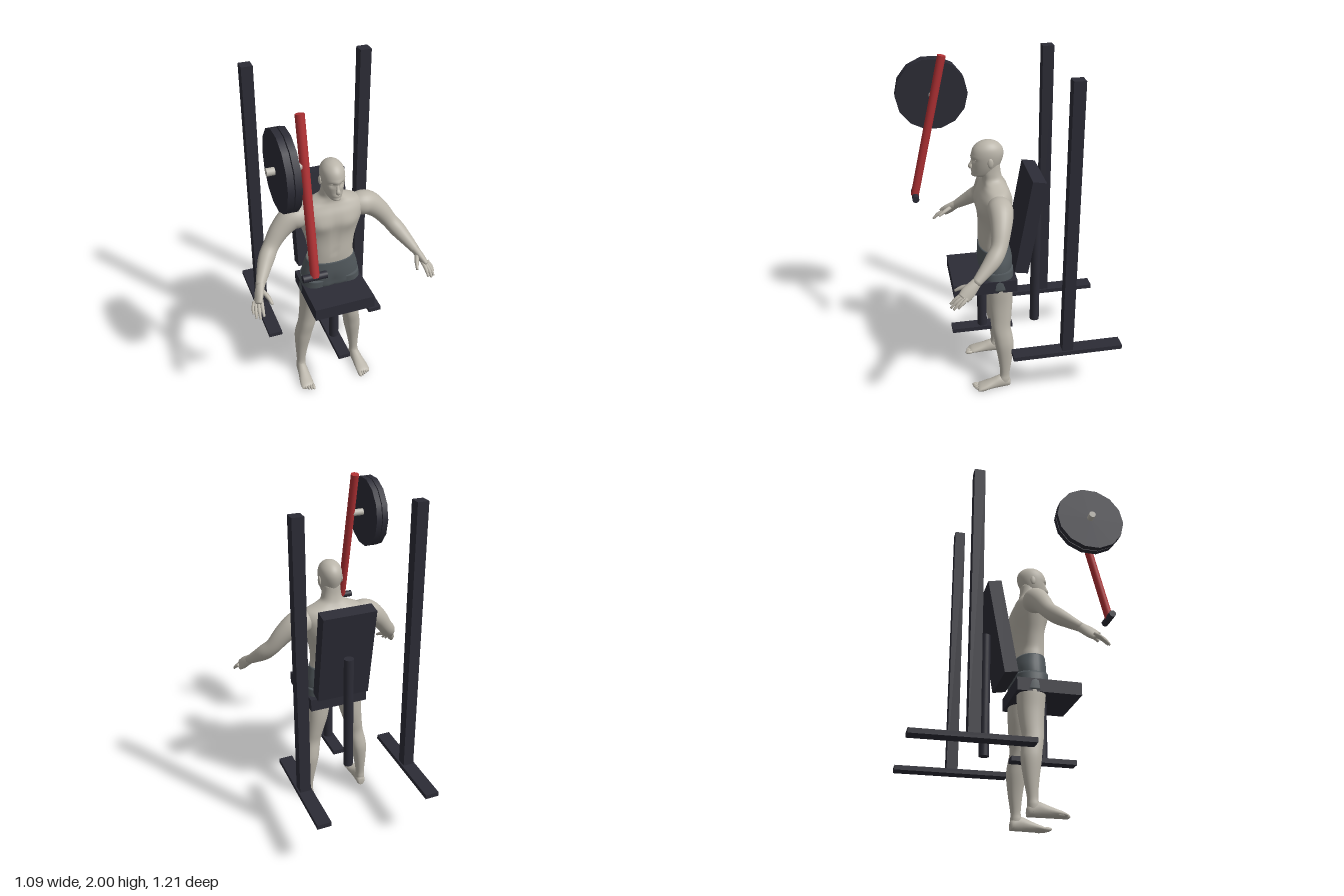
import * as THREE from 'three';

const paint = (name, color) => {
  const m = new THREE.MeshStandardMaterial({ color });
  m.name = name;
  return m;
};

// Catmull-Rom resampling of rows of numbers
function resample(rows, steps) {
  const out = [];
  for (let i = 0; i < rows.length - 1; i++) {
    const a = rows[Math.max(i - 1, 0)], b = rows[i], c = rows[i + 1], d = rows[Math.min(i + 2, rows.length - 1)];
    for (let k = 0; k < steps; k++) {
      const t = k / steps;
      out.push(b.map((_, j) => b[j] + 0.5 * t * (c[j] - a[j] + t * (2 * a[j] - 5 * b[j] + 4 * c[j] - d[j]
        + t * (3 * (b[j] - c[j]) + d[j] - a[j])))));
    }
  }
  out.push(rows[rows.length - 1]);
  return out;
}

// Closed skin over rings of points, always wound outward
function skinRings(rings) {
  const n = rings[0].length, pts = rings.flat(), idx = [];
  for (let i = 0; i < rings.length - 1; i++) for (let j = 0; j < n; j++) {
    const a = i * n + j, b = i * n + (j + 1) % n;
    idx.push(a, b, a + n, b, b + n, a + n);
  }
  [0, rings.length - 1].forEach((r, end) => {
    const c = new THREE.Vector3();
    rings[r].forEach(p => c.addScaledVector(p, 1 / n));
    pts.push(c);
    for (let j = 0; j < n; j++) {
      const a = r * n + j, b = r * n + (j + 1) % n;
      idx.push(...(end ? [a, b, pts.length - 1] : [b, a, pts.length - 1]));
    }
  });
  let volume = 0;
  const cross = new THREE.Vector3();
  for (let i = 0; i < idx.length; i += 3) volume += pts[idx[i]].dot(cross.crossVectors(pts[idx[i + 1]], pts[idx[i + 2]]));
  if (volume < 0) idx.reverse();
  const g = new THREE.BufferGeometry().setFromPoints(pts);
  g.setIndex(idx);
  g.computeVertexNormals();
  return g;
}

// Upright form: rows of [y, centre x, half width, back z, front z]; bumps push along z
function upright(rows, side = 1, bumps = [], n = 36, power = 0.9) {
  const soft = v => Math.sign(v) * Math.abs(v) ** power;
  return skinRings(resample(rows, 4).map(([y, xc, hw, zb, zf]) => Array.from({ length: n }, (_, j) => {
    const a = j / n * Math.PI * 2, c = soft(Math.cos(a)), s = soft(Math.sin(a));
    const p = new THREE.Vector3(side * (xc + hw * c), y, (zb + zf) / 2 + (zf - zb) / 2 * s);
    let push = 0;
    for (const [bx, by, rx, ry, amp, face] of bumps) {
      if (s * face > 0) push += amp * Math.min(1, Math.abs(s) * 2) * Math.exp(-(((p.x - bx) / rx) ** 2) - ((y - by) / ry) ** 2);
    }
    p.z += push;
    return p;
  })));
}

// Limb along a path: rows of [x, y, z, radius, flatness]
function limb(rows, side = 1, n = 18) {
  const path = resample(rows, 4);
  const at = i => new THREE.Vector3(...path[Math.min(Math.max(i, 0), path.length - 1)].slice(0, 3));
  return skinRings(path.map((row, i) => {
    const dir = at(i + 1).sub(at(i - 1)).normalize();
    const u = new THREE.Vector3(0.8, 0.55, -0.2).cross(dir).normalize();
    const v = dir.clone().cross(u);
    return Array.from({ length: n }, (_, j) => {
      const a = j / n * Math.PI * 2;
      const p = at(i).addScaledVector(u, Math.cos(a) * row[3]).addScaledVector(v, Math.sin(a) * row[3] * row[4]);
      p.x *= side;
      return p;
    });
  }));
}

export function createModel() {
  const model = new THREE.Group();
  const frame = paint('darkFrame', 0x2c2c36), red = paint('leverRed', 0xb03134);
  const metal = paint('lightMetal', 0xbdb9b0), skin = paint('skin', 0xbab5aa), cloth = paint('shortsGrey', 0x50575b);

  const add = (name, geo, mat, x = 0, y = 0, z = 0, parent = model) => {
    const m = new THREE.Mesh(geo, mat);
    m.name = name;
    m.position.set(x, y, z);
    parent.add(m);
    return m;
  };
  const box = (name, w, h, d, x, y, z) => add(name, new THREE.BoxGeometry(w, h, d), frame, x, y, z);
  const rod = (name, r, len, mat, x, y, z, n = 20) => add(name, new THREE.CylinderGeometry(r, r, len, n), mat, x, y, z);
  const ball = (name, x, y, z, rx, ry, rz, parent) =>
    add(name, new THREE.SphereGeometry(1, 16, 12), skin, x, y, z, parent).scale.set(rx, ry, rz);

  // Rack uprights and their floor runners
  for (const s of [-1, 1]) {
    box('upright', 0.065, 1.645, 0.065, s * 0.335, 1.1775, -0.272);
    box('uprightFoot', 0.083, 0.027, 0.66, s * 0.335, 0.347, -0.275);
  }

  // Seat and back rest
  box('seat', 0.36, 0.077, 0.375, 0, 0.732, 0.184);
  rod('seatPost', 0.029, 0.35, frame, 0, 0.525, 0.185);
  box('seatFoot', 0.073, 0.027, 0.375, 0, 0.347, 0.187);
  box('backPad', 0.32, 0.58, 0.08, 0, 1.09, -0.08).rotation.x = -0.175;
  rod('backPost', 0.029, 0.735, frame, 0, 0.723, -0.148);

  // Lever arm with handle, peg and two weight plates
  const top = new THREE.Vector3(-0.24, 1.994, 0.34), low = new THREE.Vector3(-0.24, 1.17, 0.537);
  const span = top.clone().sub(low), mid = top.clone().add(low).multiplyScalar(0.5);
  rod('leverArm', 0.024, span.length(), red, mid.x, mid.y, mid.z).rotation.x = Math.atan2(span.z, span.y);
  rod('handle', 0.02, 0.13, frame, -0.24, 1.168, 0.535).rotation.z = Math.PI / 2;
  rod('platePeg', 0.02, 0.19, metal, -0.335, 1.75, 0.397).rotation.z = Math.PI / 2;
  for (const x of [-0.372, -0.334]) {
    const plate = add('weightPlate', new THREE.CylinderGeometry(0.207, 0.207, 0.033, 14), frame, x, 1.75, 0.4);
    plate.rotation.z = Math.PI / 2;
  }

  const body = new THREE.Group();
  body.name = 'athlete';
  model.add(body);
  const flesh = (name, geo, mat = skin) => add(name, geo, mat, 0, 0, 0, body);

  // Torso and neck, with chest, belly line, shoulder blades and spine
  flesh('torso', upright([
    [0.9, 0, 0.145, 0.025, 0.19], [0.95, 0, 0.138, 0.026, 0.196], [1.0, 0, 0.134, 0.03, 0.198],
    [1.08, 0, 0.145, 0.024, 0.196], [1.16, 0, 0.168, 0.013, 0.2], [1.22, 0, 0.185, 0.01, 0.204],
    [1.27, 0, 0.195, 0.013, 0.195], [1.31, 0, 0.17, 0.025, 0.175], [1.335, 0, 0.112, 0.04, 0.165],
    [1.36, 0, 0.066, 0.052, 0.165], [1.4, 0, 0.055, 0.062, 0.17], [1.45, 0, 0.05, 0.065, 0.165],
  ], 1, [
    [0.085, 1.2, 0.065, 0.05, 0.014, 1], [-0.085, 1.2, 0.065, 0.05, 0.014, 1], [0, 1.14, 0.015, 0.13, -0.006, 1],
    [0.1, 1.23, 0.05, 0.07, -0.01, -1], [-0.1, 1.23, 0.05, 0.07, -0.01, -1], [0, 1.12, 0.025, 0.17, 0.01, -1],
    [0, 1.01, 0.01, 0.012, -0.006, 1],
  ], 48));

  // Head with brow, eye sockets, cheeks and lips
  flesh('head', upright([
    [1.372, 0, 0.016, 0.15, 0.2], [1.382, 0, 0.034, 0.11, 0.222], [1.405, 0, 0.047, 0.08, 0.223],
    [1.44, 0, 0.058, 0.064, 0.224], [1.48, 0, 0.065, 0.049, 0.226], [1.515, 0, 0.066, 0.045, 0.224],
    [1.545, 0, 0.059, 0.055, 0.212], [1.568, 0, 0.042, 0.078, 0.188], [1.58, 0, 0.022, 0.105, 0.16], [1.584, 0, 0.004, 0.13, 0.138],
  ], 1, [
    [0.026, 1.478, 0.014, 0.01, -0.013, 1], [-0.026, 1.478, 0.014, 0.01, -0.013, 1],
    [0, 1.494, 0.045, 0.008, 0.005, 1], [0, 1.41, 0.022, 0.007, 0.007, 1], [0, 1.385, 0.02, 0.01, 0.005, 1],
  ], 48, 1));
  flesh('nose', limb([[0, 1.485, 0.216, 0.006, 1], [0, 1.455, 0.225, 0.009, 1], [0, 1.437, 0.231, 0.013, 1], [0, 1.427, 0.222, 0.009, 1]]));
  for (const s of [-1, 1]) {
    ball('eye', s * 0.025, 1.478, 0.2, 0.012, 0.008, 0.01, body);
    ball('ear', s * 0.067, 1.47, 0.128, 0.008, 0.028, 0.016, body);
  }

  // Shorts: seat section and two short legs
  flesh('shorts', upright([
    [0.942, 0, 0.143, 0.022, 0.2], [0.9, 0, 0.155, 0.008, 0.203], [0.86, 0, 0.166, 0.002, 0.204],
    [0.81, 0, 0.174, 0.005, 0.202], [0.77, 0, 0.172, 0.015, 0.196], [0.74, 0, 0.14, 0.04, 0.17],
  ], 1, [[0, 0.84, 0.025, 0.08, 0.014, -1], [0, 0.79, 0.025, 0.05, -0.01, 1]]), cloth);

  for (const s of [-1, 1]) {
    flesh('shortsLeg', upright([[0.82, 0.09, 0.083, 0.008, 0.198], [0.76, 0.096, 0.085, 0.01, 0.192], [0.705, 0.103, 0.081, 0.01, 0.184]], s), cloth);

    // Leg from hip to ankle
    flesh('leg', upright([
      [0.76, 0.096, 0.08, 0.015, 0.185], [0.7, 0.104, 0.077, 0.014, 0.178], [0.6, 0.113, 0.067, 0.016, 0.166],
      [0.5, 0.132, 0.055, 0.026, 0.155], [0.43, 0.145, 0.051, 0.033, 0.15], [0.36, 0.158, 0.051, 0.022, 0.138],
      [0.3, 0.166, 0.049, 0.018, 0.13], [0.2, 0.175, 0.037, 0.03, 0.114], [0.1, 0.181, 0.027, 0.046, 0.104],
      [0.06, 0.183, 0.029, 0.046, 0.112], [0.02, 0.183, 0.028, 0.048, 0.11],
    ], s, [], 28));

    // Foot: rows of [z, centre x, half width, top y]
    const foot = resample([[0.042, 0.181, 0.016, 0.045], [0.056, 0.181, 0.028, 0.062], [0.1, 0.184, 0.031, 0.08],
      [0.15, 0.187, 0.035, 0.062], [0.2, 0.19, 0.041, 0.043], [0.235, 0.191, 0.041, 0.03], [0.25, 0.192, 0.036, 0.02]], 3);
    flesh('foot', skinRings(foot.map(([z, xc, hw, h]) => Array.from({ length: 20 }, (_, j) => {
      const a = j / 20 * Math.PI * 2;
      return new THREE.Vector3(s * (xc + hw * Math.cos(a)), Math.max(0, h * (0.45 + 0.55 * Math.sin(a))), z);
    }))));
    for (let i = 0; i < 5; i++) {
      ball('toe', s * (0.16 + i * 0.0155), 0.012, 0.254 - i * i * 0.0022, i ? 0.0085 : 0.012, 0.012, 0.026, body);
    }

    // Arm from shoulder to wrist
    flesh('arm', limb([
      [0.13, 1.25, 0.1, 0.055, 1], [0.185, 1.25, 0.1, 0.07, 1], [0.235, 1.238, 0.1, 0.068, 1], [0.3, 1.182, 0.112, 0.056, 1],
      [0.355, 1.11, 0.133, 0.046, 1], [0.395, 1.06, 0.17, 0.046, 1], [0.43, 1.015, 0.22, 0.037, 1], [0.468, 0.965, 0.28, 0.025, 1],
    ], s, 28));

    // Hand with thumb and four fingers
    flesh('palm', limb([[0.458, 0.978, 0.265, 0.025, 0.95], [0.475, 0.953, 0.295, 0.033, 0.7],
      [0.49, 0.928, 0.325, 0.038, 0.55], [0.504, 0.905, 0.352, 0.034, 0.5]], s));
    const fingers = [
      ['thumb', [0.468, 0.955, 0.3], [0.443, 0.935, 0.35], [0.431, 0.912, 0.388], 0.012],
      ['finger', [0.482, 0.922, 0.345], [0.487, 0.9, 0.385], [0.489, 0.868, 0.42], 0.0105],
      ['finger', [0.497, 0.913, 0.348], [0.506, 0.89, 0.388], [0.51, 0.857, 0.42], 0.0105],
      ['finger', [0.511, 0.91, 0.342], [0.523, 0.886, 0.38], [0.529, 0.856, 0.408], 0.01],
      ['finger', [0.519, 0.912, 0.332], [0.534, 0.89, 0.362], [0.538, 0.868, 0.384], 0.009],
    ];
    for (const [name, a, b, c, r] of fingers) {
      flesh(name, limb([[...a, r * 1.1, 1], [...b, r, 1], [...c, r * 0.6, 1]], s, 10));
    }
  }
  return model;
}
